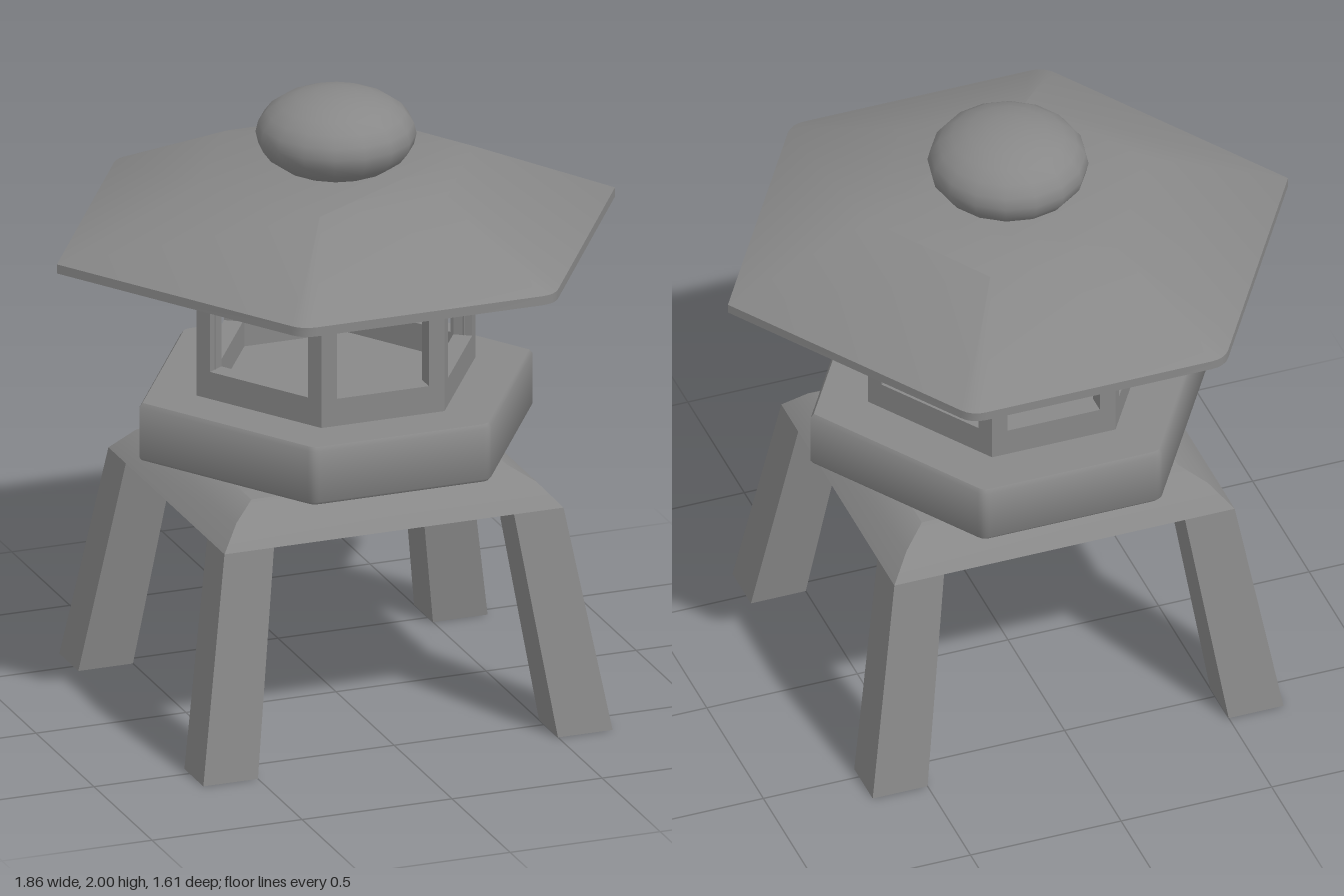
import * as THREE from 'three';
import { toCreasedNormals } from 'three/addons/utils/BufferGeometryUtils.js';

const stone = new THREE.MeshStandardMaterial({ color: 0x888888 });

function addMesh(group, name, geometry) {
  const mesh = new THREE.Mesh(geometry, stone);
  mesh.name = name;
  group.add(mesh);
  return mesh;
}

// Hexagon with points on the x axis and flats at +-z, counterclockwise from above
const hex = (a, c, z) => [[a, 0], [c, -z], [-c, -z], [-a, 0], [-c, z], [c, z]];

const rect = (xa, xb, za, zb) => {
  const [x0, x1] = [Math.min(xa, xb), Math.max(xa, xb)];
  const [z0, z1] = [Math.min(za, zb), Math.max(za, zb)];
  return [[x1, z1], [x1, z0], [x0, z0], [x0, z1]];
};

// Rounds the four front and back corners of a hexagon
function roundHex(points, r) {
  const out = [];
  points.forEach((p, i) => {
    if (i % 3 === 0) return out.push(p);
    const toward = (q) => {
      const d = Math.hypot(q[0] - p[0], q[1] - p[1]);
      return new THREE.Vector2(p[0] + (q[0] - p[0]) * r / d, p[1] + (q[1] - p[1]) * r / d);
    };
    const curve = new THREE.QuadraticBezierCurve(
      toward(points[(i + 5) % 6]), new THREE.Vector2(...p), toward(points[(i + 1) % 6]));
    curve.getPoints(4).forEach((v) => out.push([v.x, v.y]));
  });
  return out;
}

// Closed solid through rings of [y, points], from bottom to top
function loft(rings, crease) {
  const n = rings[0][1].length;
  const pos = [];
  const index = [];
  rings.forEach(([y, pts]) => pts.forEach(([x, z]) => pos.push(x, y, z)));
  for (let k = 0; k < rings.length - 1; k++) {
    for (let i = 0; i < n; i++) {
      const a = k * n + i;
      const b = k * n + (i + 1) % n;
      index.push(a, b, b + n, a, b + n, a + n);
    }
  }
  const last = (rings.length - 1) * n;
  for (let i = 1; i < n - 1; i++) {
    index.push(0, i + 1, i);
    index.push(last, last + i, last + i + 1);
  }
  const g = new THREE.BufferGeometry();
  g.setAttribute('position', new THREE.Float32BufferAttribute(pos, 3));
  g.setIndex(index);
  return toCreasedNormals(g, crease);
}

// One framed wall with a window opening, its outer face on z = 0
function windowWall(length, y0, y1) {
  const h = length / 2;
  const m = 0.052;
  const thick = 0.06;
  const shape = new THREE.Shape([[-h, y0], [h, y0], [h, y1], [-h, y1]].map((p) => new THREE.Vector2(...p)));
  shape.holes.push(new THREE.Path([
    [-h + m, 1.14], [-h + m, 1.475], [h - m, 1.475], [h - m, 1.14],
  ].map((p) => new THREE.Vector2(...p))));
  return new THREE.ExtrudeGeometry(shape, { depth: thick, bevelEnabled: false }).translate(0, 0, -thick);
}

export function createModel() {
  const model = new THREE.Group();
  model.name = 'stoneLantern';

  // Four splayed legs
  const legs = new THREE.Group();
  legs.name = 'legs';
  model.add(legs);
  for (const sx of [1, -1]) {
    for (const sz of [1, -1]) {
      addMesh(legs, 'leg', loft([
        [0, rect(sx * 0.50, sx * 0.682, sz * 0.457, sz * 0.62)],
        [0.713, rect(sx * 0.40, sx * 0.565, sz * 0.35, sz * 0.50)],
      ], 0.2));
    }
  }

  // Table with rounded shoulders
  addMesh(model, 'table', loft([
    [0.713, rect(-0.565, 0.565, -0.50, 0.50)],
    [0.785, rect(-0.50, 0.50, -0.435, 0.435)],
    [0.83, rect(-0.425, 0.425, -0.37, 0.37)],
  ], 0.62));

  // Neck and platform
  addMesh(model, 'neck', loft([
    [0.83, hex(0.297, 0.13, 0.26)],
    [0.87, hex(0.297, 0.13, 0.26)],
  ], 0.2));
  const platform = (y, inset) => [y, roundHex(hex(0.655 - inset, 0.295 - inset / 2, 0.565 - inset), 0.02)];
  addMesh(model, 'platform', loft([
    platform(0.86, 0.008), platform(0.87, 0), platform(1.037, 0), platform(1.05, 0.01),
  ], 0.8));

  // Fire box of six window walls
  const fireBox = new THREE.Group();
  fireBox.name = 'fireBox';
  model.add(fireBox);
  const corners = hex(0.465, 0.205, 0.405);
  corners.forEach(([px, pz], i) => {
    const [qx, qz] = corners[(i + 1) % 6];
    const wall = addMesh(fireBox, 'windowWall', windowWall(Math.hypot(qx - px, qz - pz), 1.045, 1.525));
    wall.position.set((px + qx) / 2, 0, (pz + qz) / 2);
    wall.rotation.y = Math.atan2(pz - qz, qx - px);
  });

  // Roof with a thin rim and softened ridges
  const eave = roundHex(hex(0.93, 0.42, 0.803), 0.045);
  addMesh(model, 'roof', loft([
    [1.52, eave],
    [1.55, eave],
    [1.752, roundHex(hex(0.46, 0.21, 0.405), 0.004)],
  ], 0.5));

  // Finial
  const finial = addMesh(model, 'finial', new THREE.SphereGeometry(1, 16, 12));
  finial.scale.set(0.25, 0.138, 0.255);
  finial.position.y = 1.862;

  return model;
}
